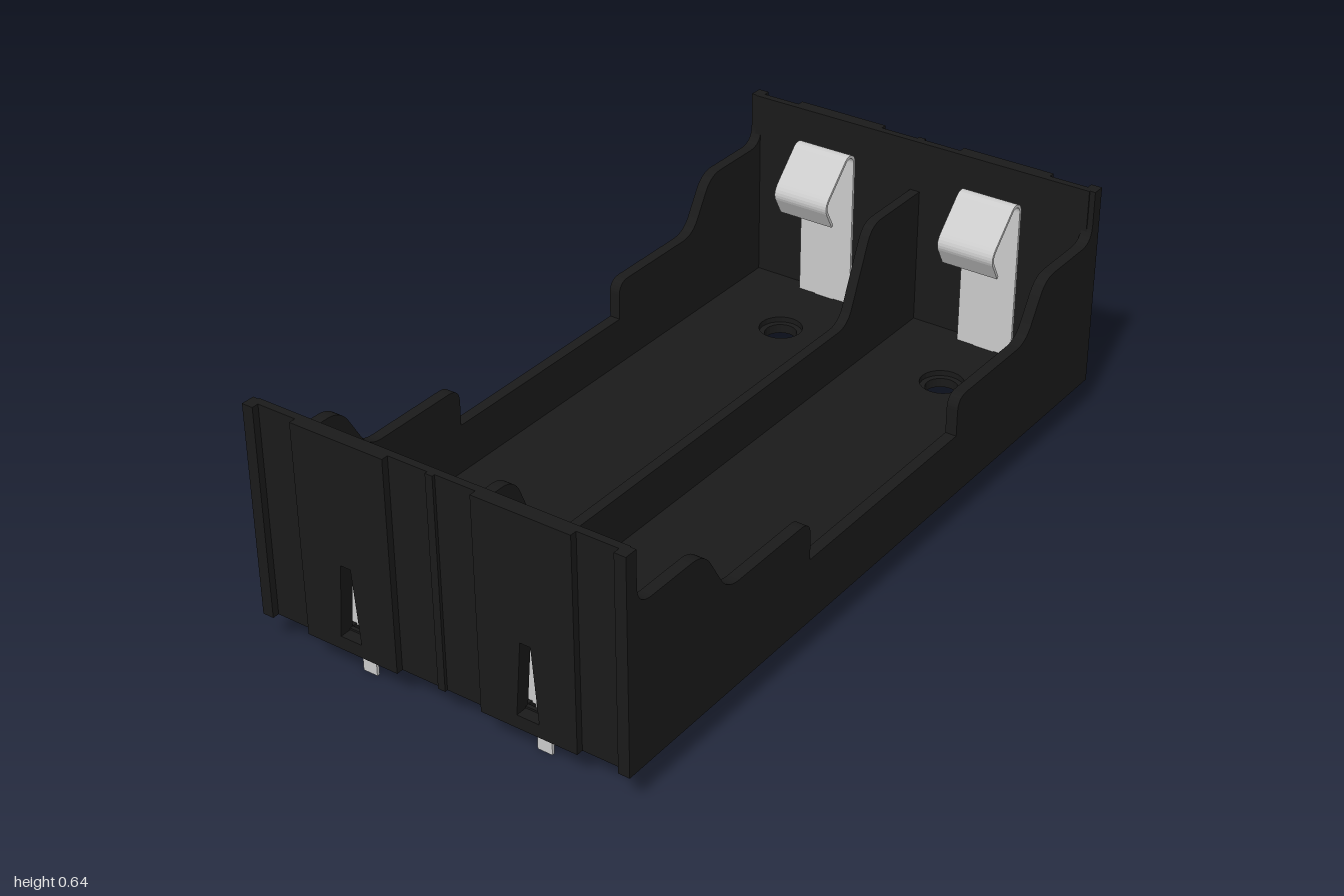
import * as THREE from 'three';

const black = new THREE.MeshStandardMaterial({ color: 0x1a1a1a });
const metal = new THREE.MeshStandardMaterial({ color: 0xcccccc });
const BASE = 0.085, TOP = 0.64, BAY = 0.248;

// Closed outline from [x, y, cornerRadius] points
function outline(points) {
  const shape = new THREE.Shape();
  const n = points.length;
  const toward = (a, b, r) => {
    const d = Math.hypot(b[0] - a[0], b[1] - a[1]);
    return [a[0] + (b[0] - a[0]) * r / d, a[1] + (b[1] - a[1]) * r / d];
  };
  points.forEach((p, i) => {
    const r = p[2] || 0;
    const a = toward(p, points[(i + n - 1) % n], r);
    const b = toward(p, points[(i + 1) % n], r);
    if (i === 0) shape.moveTo(...a); else shape.lineTo(...a);
    if (r) shape.quadraticCurveTo(p[0], p[1], ...b);
  });
  shape.closePath();
  return shape;
}

const rect = (x0, y0, x1, y1) => outline([[x0, y0], [x1, y0], [x1, y1], [x0, y1]]);

function extrude(shape, depth) {
  return new THREE.ExtrudeGeometry(shape, { depth, bevelEnabled: false, curveSegments: 12 });
}

function add(parent, name, geometry, material) {
  const mesh = new THREE.Mesh(geometry, material);
  mesh.name = name;
  parent.add(mesh);
  return mesh;
}

// Lengthwise wall: right half profile mirrored to the left
function lengthWall(half, thickness, z) {
  const left = half.map(([x, y, r]) => [-x, y, r]).reverse();
  return extrude(outline([...half, ...left]), thickness).translate(0, 0, z - thickness / 2);
}

// Tapered window in an end wall
const taper = (c) => outline([[c - 0.03, 0.12], [c + 0.03, 0.12], [c + 0.014, 0.315], [c - 0.014, 0.315]]);

// Floor layer with screw holes and contact slots
function floorLayer(y0, y1, radius) {
  const shape = rect(-0.97, -0.5, 0.97, 0.5);
  for (const sx of [-1, 1]) for (const sz of [-1, 1]) {
    const hole = new THREE.Path();
    hole.absarc(sx * 0.715, sz * BAY, radius, 0, Math.PI * 2, true);
    shape.holes.push(hole);
    const a = sx * 0.925, b = sx * 0.96;
    shape.holes.push(rect(Math.min(a, b), sz * BAY - 0.03, Math.max(a, b), sz * BAY + 0.03));
  }
  return extrude(shape, y1 - y0).rotateX(-Math.PI / 2).translate(0, y0, 0);
}

// Bent spring strip, following a centre line with constant thickness
function springStrip(width) {
  const pts = [new THREE.Vector2(0.935, 0.12)];
  for (let i = 0; i <= 10; i++) {
    const a = i / 10 * Math.PI * 0.75;
    pts.push(new THREE.Vector2(0.91 + 0.025 * Math.cos(a), 0.545 + 0.025 * Math.sin(a)));
  }
  const fold = new THREE.QuadraticBezierCurve(
    new THREE.Vector2(0.818, 0.488), new THREE.Vector2(0.798, 0.468), new THREE.Vector2(0.808, 0.448));
  pts.push(...fold.getPoints(6), new THREE.Vector2(0.835, 0.40));
  const side = (s) => pts.map((p, i) => {
    const t = pts[Math.min(i + 1, pts.length - 1)].clone().sub(pts[Math.max(i - 1, 0)]).normalize();
    return new THREE.Vector2(p.x - t.y * s, p.y + t.x * s);
  });
  const shape = new THREE.Shape([...side(0.004), ...side(-0.004).reverse()]);
  return extrude(shape, width).translate(0, 0, -width / 2);
}

export function createModel() {
  const model = new THREE.Group();
  model.name = 'twinCellHolder';

  // Floor, with wider recesses around the screw holes
  add(model, 'floor', floorLayer(BASE, 0.11, 0.043), black);
  add(model, 'floorTop', floorLayer(0.11, 0.125, 0.058), black);

  // Stepped side walls
  const sideProfile = [
    [1, BASE], [1, TOP], [0.965, TOP], [0.965, 0.5, 0.05], [0.73, 0.5, 0.045],
    [0.645, 0.36, 0.045], [0.32, 0.36, 0.04], [0.32, 0.255],
  ];
  for (const s of [-1, 1]) {
    add(model, s > 0 ? 'frontWall' : 'backWall', lengthWall(sideProfile, 0.03, s * 0.5), black);
  }

  // Divider between the two bays
  const dividerProfile = [[0.97, BASE + 0.01], [0.97, 0.5], [0.73, 0.5, 0.045], [0.625, 0.255, 0.045]];
  add(model, 'divider', lengthWall(dividerProfile, 0.028, 0), black);

  // End walls with raised outer pads and tapered windows
  for (const s of [-1, 1]) {
    const end = new THREE.Group();
    end.name = s > 0 ? 'leftEnd' : 'rightEnd';
    model.add(end);
    const place = (geometry, inner, outer) =>
      geometry.rotateY(Math.PI / 2).translate(s > 0 ? inner : -outer, 0, 0);

    const panel = rect(-0.5, BASE, 0.5, TOP);
    panel.holes.push(taper(-BAY), taper(BAY));
    add(end, 'endPanel', place(extrude(panel, 0.02), 0.962, 0.982), black);

    for (const c of [-BAY, BAY]) {
      const pad = rect(c - 0.13, BASE, c + 0.13, TOP);
      pad.holes.push(taper(c));
      add(end, 'endPad', place(extrude(pad, 0.02), 0.98, 1), black);
    }
    add(end, 'endRib', place(extrude(rect(-0.01, BASE, 0.01, TOP), 0.01), 0.98, 0.99), black);
  }

  // Spring contacts with solder pins
  for (const s of [-1, 1]) for (const c of [-BAY, BAY]) {
    const contact = new THREE.Group();
    contact.name = 'contact';
    add(contact, 'spring', springStrip(0.16), metal);
    add(contact, 'pin', new THREE.BoxGeometry(0.008, 0.14, 0.04).translate(0.935, 0.07, 0), metal);
    contact.rotation.y = s > 0 ? 0 : Math.PI;
    contact.position.set(s > 0 ? -0.003 : -0.008, 0, c);
    model.add(contact);
  }
  return model;
}
